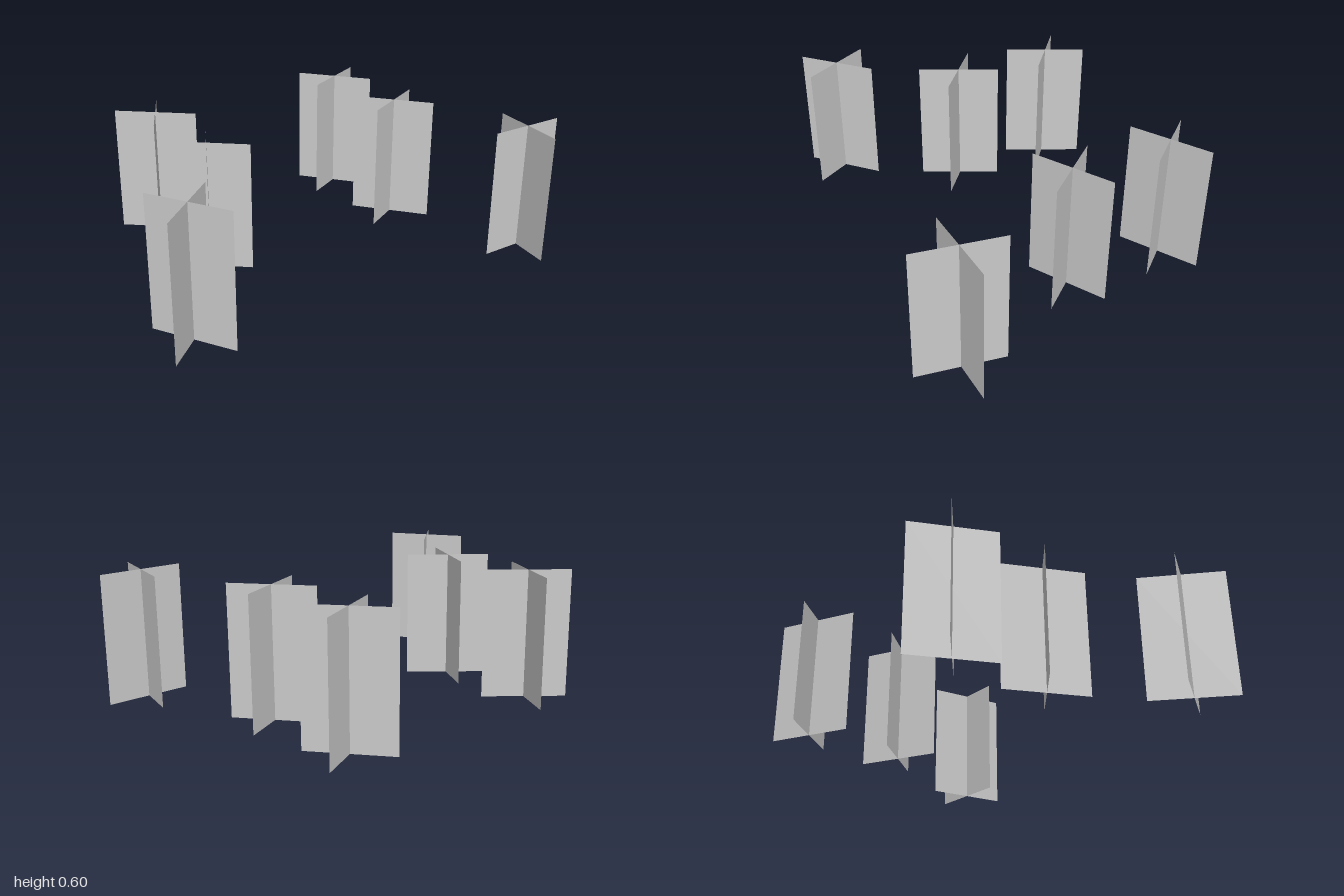
import * as THREE from 'three';

const WIDTH = 0.388, HEIGHT = 0.595;

// Two upright cards crossing at the middle; angles in degrees from +x towards +z
function crossedCards(name, x, z, angles, material) {
  const cross = new THREE.Group();
  cross.name = name;
  const card = new THREE.PlaneGeometry(WIDTH, HEIGHT);
  angles.forEach((angle, i) => {
    const mesh = new THREE.Mesh(card, material);
    mesh.name = `${name}Card${i + 1}`;
    mesh.rotation.y = -THREE.MathUtils.degToRad(angle);
    cross.add(mesh);
  });
  cross.position.set(x, 0.299, z);
  cross.rotation.z = -0.008; // slight lean
  return cross;
}

export function createModel() {
  const model = new THREE.Group();
  model.name = 'crossedCardPlants';
  const material = new THREE.MeshStandardMaterial({
    color: 0xcccccc, side: THREE.DoubleSide, flatShading: true,
  });

  // Back and middle rows share the same pair of crosses
  [['back', -0.58], ['middle', -0.085]].forEach(([row, z]) => {
    model.add(crossedCards(`${row}RightPlant`, -0.5, z, [-62.4, 40.4], material));
    model.add(crossedCards(`${row}LeftPlant`, 0.547, z, [50.8, -26.9], material));
  });

  // Front row, set wider apart
  model.add(crossedCards('frontRightPlant', -0.855, 0.418, [59.2, -41.3], material));
  model.add(crossedCards('frontLeftPlant', 0.8, 0.556, [-79.6, 0], material));
  return model;
}
